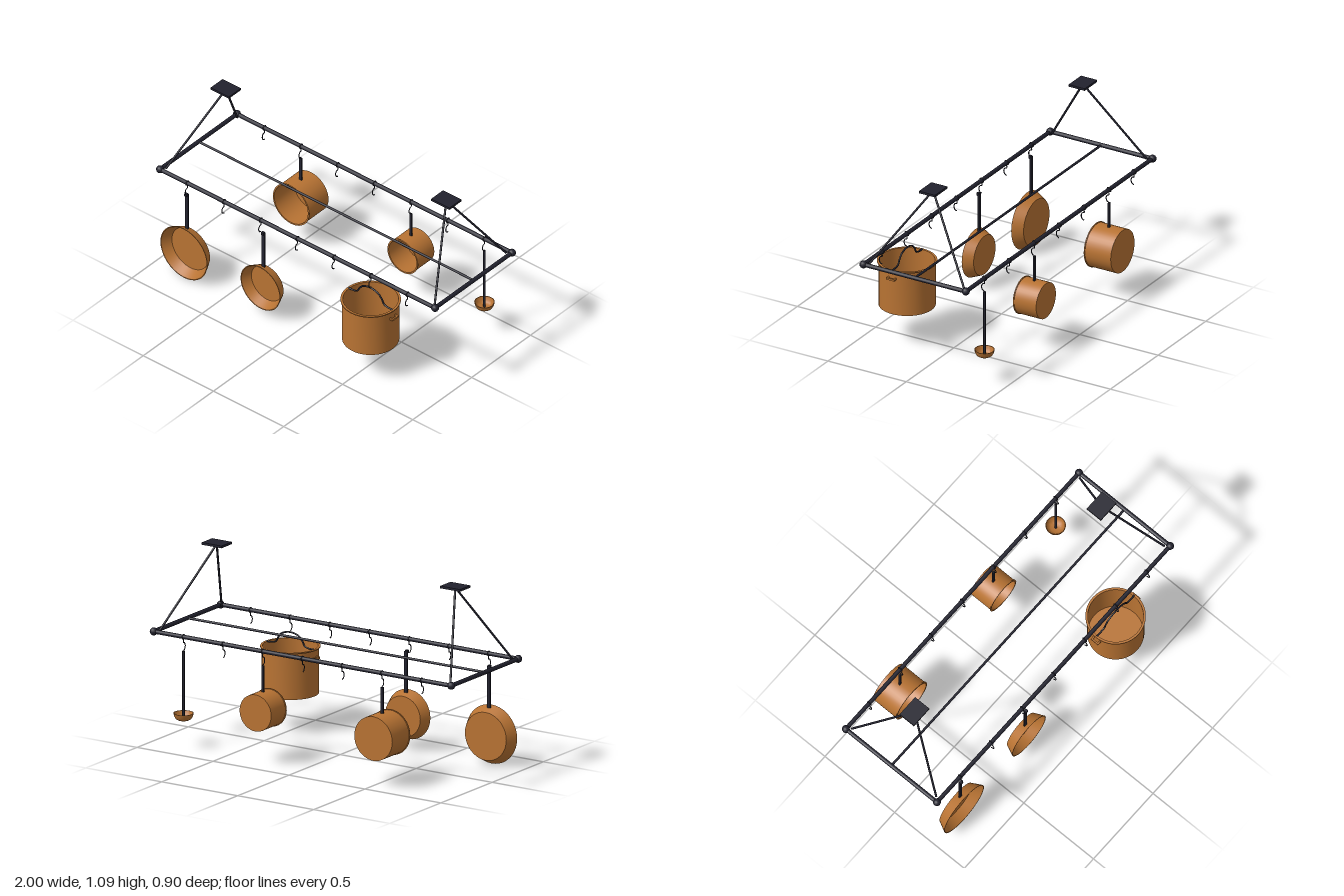
import * as THREE from 'three';
import { toCreasedNormals } from 'three/addons/utils/BufferGeometryUtils.js';

export function createModel() {
  const root = new THREE.Group();
  const iron = new THREE.MeshStandardMaterial({ color: 0x22222e });
  iron.name = 'darkIron';
  const copper = new THREE.MeshStandardMaterial({ color: 0xb87333 });
  copper.name = 'copper';

  const RAIL_Y = 0.635, FRONT = 0.286, BACK = -0.368, MID = -0.041, END = 0.979;
  const v = (x, y, z) => new THREE.Vector3(x, y, z);

  function add(parent, name, geo, mat, x = 0, y = 0, z = 0) {
    const m = new THREE.Mesh(geo, mat);
    m.name = name;
    m.position.set(x, y, z);
    parent.add(m);
    return m;
  }
  // straight round bar between two points
  function bar(parent, name, a, b, r, mat = iron, sides = 12) {
    const m = add(parent, name, new THREE.CylinderGeometry(r, r, a.distanceTo(b), sides), mat);
    m.position.copy(a).add(b).multiplyScalar(0.5);
    m.quaternion.setFromUnitVectors(v(0, 1, 0), b.clone().sub(a).normalize());
    return m;
  }
  // turned solid with crisp edges
  function turned(points, segments = 40) {
    const pts = points.map(([r, y]) => new THREE.Vector2(r, y));
    return toCreasedNormals(new THREE.LatheGeometry(pts, segments), 0.6);
  }
  // hollow vessel: base radius, mouth radius, depth, lip overhang
  function vessel(r0, r1, depth, lip, t = 0.005) {
    const outer = lip
      ? [[r1, depth - 0.006], [r1 + lip, depth - 0.006], [r1 + lip, depth]]
      : [[r1, depth]];
    return turned([[0, 0], [r0, 0], ...outer, [r1 - t, depth], [r0 - t, t], [0, t]]);
  }

  // Hanging frame
  const frame = new THREE.Group();
  frame.name = 'frame';
  root.add(frame);
  for (const z of [FRONT, BACK]) bar(frame, 'longRail', v(-END, RAIL_Y, z), v(END, RAIL_Y, z), 0.012);
  bar(frame, 'centreRail', v(-END, RAIL_Y, MID), v(END, RAIL_Y, MID), 0.007);
  for (const s of [-1, 1]) {
    bar(frame, 'endRail', v(s * END, RAIL_Y, FRONT), v(s * END, RAIL_Y, BACK), 0.012);
    add(frame, 'ceilingPlate', new THREE.BoxGeometry(0.13, 0.013, 0.102), iron, s * 0.785, 1.089, MID);
    for (const z of [FRONT, BACK]) {
      add(frame, 'cornerBall', new THREE.SphereGeometry(0.022, 12, 8), iron, s * END, RAIL_Y, z);
      const foot = z + (z > 0 ? -0.024 : 0.024);
      bar(frame, 'suspensionRod', v(s * 0.785, 1.085, MID), v(s * 0.957, 0.637, foot), 0.006);
    }
  }

  // Row of wire hooks on each long rail
  const hookPts = [[0, 0.62], [0, 0.603], [0.01, 0.6], [0.017, 0.589], [0.018, 0.577], [0.012, 0.563], [0, 0.557]];
  const hookGeo = new THREE.TubeGeometry(
    new THREE.CatmullRomCurve3(hookPts.map(([z, y]) => v(0, y, z))), 24, 0.003, 6);
  const collarGeo = new THREE.TorusGeometry(0.013, 0.003, 6, 16).rotateY(Math.PI / 2);
  for (const z of [FRONT, BACK]) {
    for (let i = -3; i <= 3; i++) {
      const hook = new THREE.Group();
      hook.name = 'hook';
      hook.position.set(i * 0.2613, 0, z);
      add(hook, 'hookWire', hookGeo, iron);
      add(hook, 'hookCollar', collarGeo, iron, 0, RAIL_Y, 0);
      root.add(hook);
    }
  }

  // Frying pans, mouths facing forward
  for (const [x, y, r0, r1] of [[-0.785, 0.172, 0.136, 0.167], [-0.24, 0.199, 0.115, 0.141]]) {
    const pan = new THREE.Group();
    pan.name = 'fryingPan';
    root.add(pan);
    add(pan, 'panBody', vessel(r0, r1, 0.06, 0).rotateX(Math.PI / 2), copper, x, y, 0.255);
    const low = y + r1 - 0.012;
    add(pan, 'panHandle', new THREE.BoxGeometry(0.02, 0.562 - low, 0.009), iron, x, (0.562 + low) / 2, 0.288);
    add(pan, 'panHandleTip', new THREE.BoxGeometry(0.016, 0.017, 0.016), iron, x, 0.559, 0.294);
  }

  // Saucepans on the back rail
  for (const [x, y, r, z0, z1] of [[-0.524, 0.283, 0.125, -0.454, -0.284], [0.26, 0.302, 0.104, -0.442, -0.296]]) {
    const pan = new THREE.Group();
    pan.name = 'saucepan';
    root.add(pan);
    add(pan, 'saucepanBody', vessel(r, r, z1 - z0, 0.004).rotateX(Math.PI / 2), copper, x, y, z0);
    const low = y + r - 0.004;
    add(pan, 'saucepanHandle', new THREE.BoxGeometry(0.016, 0.555 - low, 0.01), iron, x, (0.555 + low) / 2, BACK);
  }

  // Stock pot with side grips and an arched bail
  const pot = new THREE.Group();
  pot.name = 'stockPot';
  pot.position.set(0.521, 0.21, FRONT);
  root.add(pot);
  add(pot, 'potBody', vessel(0.157, 0.157, 0.266, 0.008), copper);
  for (const s of [-1, 1]) {
    add(pot, 'sideGrip', new THREE.BoxGeometry(0.009, 0.011, 0.052), copper, s * 0.174, 0.218, 0);
    for (const z of [-0.0215, 0.0215]) {
      add(pot, 'gripLug', new THREE.BoxGeometry(0.022, 0.011, 0.009), copper, s * 0.163, 0.218, z);
    }
  }
  const half = [[0.157, 0.266], [0.125, 0.266], [0.096, 0.274], [0.08, 0.3], [0.058, 0.325], [0.03, 0.337]];
  const bailPts = [...half.map(([x, y]) => v(-x, y, 0)), v(0, 0.341, 0),
    ...half.slice().reverse().map(([x, y]) => v(x, y, 0))];
  add(pot, 'bailHandle', new THREE.TubeGeometry(new THREE.CatmullRomCurve3(bailPts), 60, 0.005, 8), iron);

  // Ladle
  const ladle = new THREE.Group();
  ladle.name = 'ladle';
  ladle.position.set(0.783, 0, BACK);
  root.add(ladle);
  bar(ladle, 'ladleHandle', v(0, 0.172, 0), v(0, 0.555, 0), 0.007);
  add(ladle, 'ladleBowl', turned([[0, 0.165], [0.032, 0.165], [0.043, 0.172], [0.051, 0.186], [0.056, 0.204],
    [0.052, 0.204], [0.046, 0.187], [0.038, 0.175], [0.028, 0.169], [0, 0.169]], 28), copper);

  // Rest the lowest pan on the ground plane
  root.position.y = -0.005;
  return root;
}
